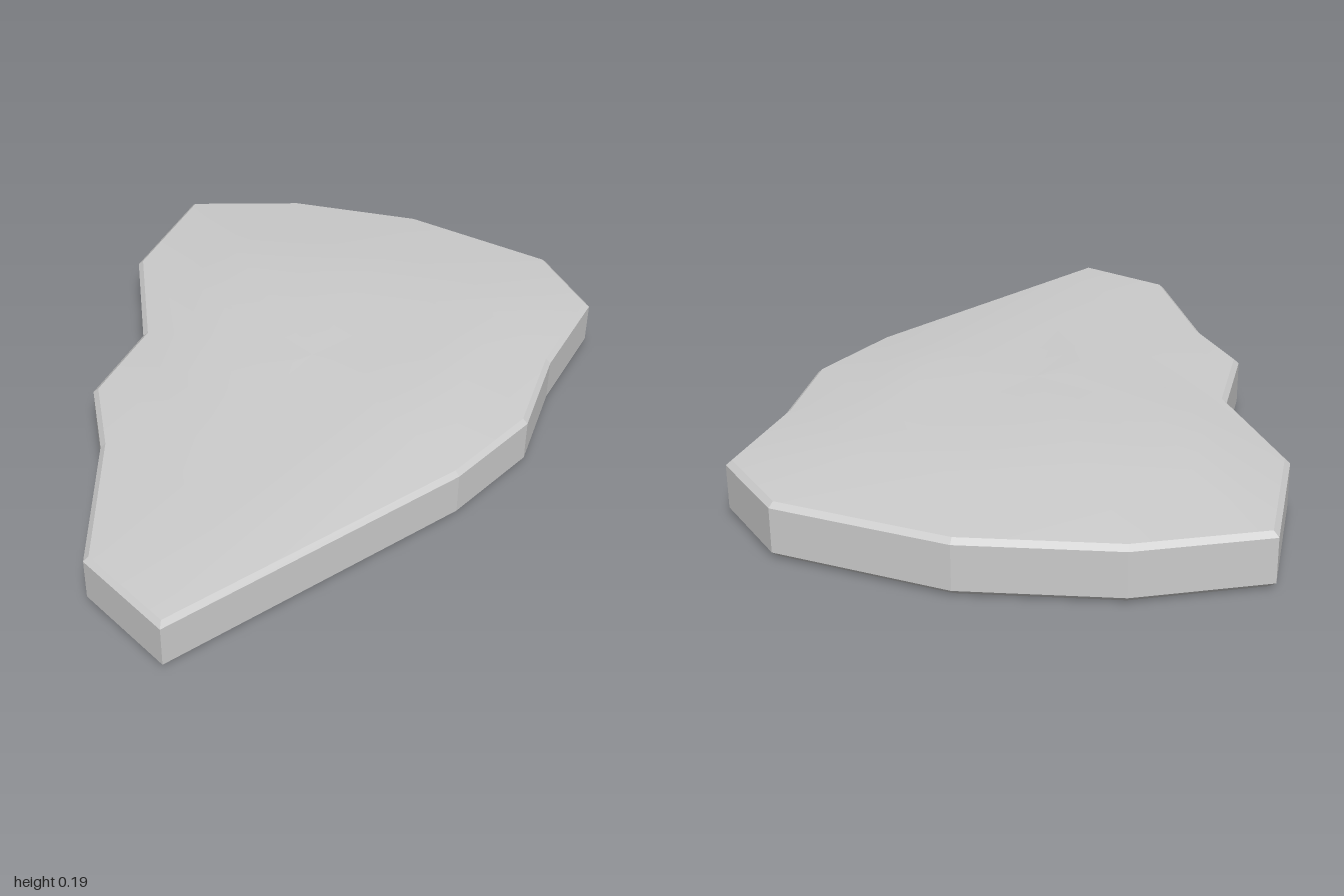
import * as THREE from 'three';

// Slab outline as [x, z], counter-clockwise seen from above
const outline = [
  [0.05, -1.0], [-0.35, -0.97], [-0.68, -0.85], [-0.7, -0.45], [-0.525, -0.09],
  [-0.545, 0.21], [-0.42, 0.43], [-0.27, 0.85], [0, 1.0], [0.52, 0.23],
  [0.64, -0.05], [0.64, -0.35], [0.69, -0.68], [0.51, -0.89],
].map(([x, z]) => new THREE.Vector2(x, z));

const centre = new THREE.Vector2(0, -0.1);
const rimY = 0.147;

// Low bumps of the worn upper face: [x, z, height]
const bumps = [
  [-0.35, -0.7, 0.182], [-0.1, -0.38, 0.189], [0.4, -0.05, 0.184], [-0.1, -0.04, 0.184],
  [0.25, -0.6, 0.176], [-0.3, 0.15, 0.169], [0.2, 0.38, 0.168], [-0.1, 0.6, 0.162],
];

// Move every edge of the outline inward by d (mitred corners)
function inset(d) {
  const n = outline.length;
  return outline.map((p, i) => {
    const a = p.clone().sub(outline[(i + n - 1) % n]).normalize();
    const b = outline[(i + 1) % n].clone().sub(p).normalize();
    const na = new THREE.Vector2(a.y, -a.x), nb = new THREE.Vector2(b.y, -b.x);
    const m = na.clone().add(nb).normalize();
    return p.clone().addScaledVector(m, d / m.dot(na));
  });
}

// Height of the upper face, weighted by distance to the bumps
function bumpHeight(x, z) {
  let sum = 0, weight = 0;
  for (const [bx, bz, h] of bumps) {
    const w = 1 / ((x - bx) ** 2 + (z - bz) ** 2 + 0.004) ** 1.5;
    sum += w * h;
    weight += w;
  }
  return sum / weight;
}

// Join closed rings of Vector3 from first to last
function loft(rings) {
  const n = rings[0].length, index = [];
  for (let r = 0; r < rings.length - 1; r++) {
    for (let i = 0; i < n; i++) {
      const j = (i + 1) % n, lo = r * n, hi = lo + n;
      index.push(lo + i, lo + j, hi + j, lo + i, hi + j, hi + i);
    }
  }
  const geometry = new THREE.BufferGeometry().setFromPoints(rings.flat());
  geometry.setIndex(index);
  geometry.computeVertexNormals();
  return geometry;
}

const level = (points, y) => points.map((p) => new THREE.Vector3(p.x, y, p.y));

export function createModel() {
  const group = new THREE.Group();
  group.name = 'stoneSlab';
  const rim = inset(0.014);

  // Flat underside, bevels and faceted side wall
  const body = new THREE.Mesh(
    loft([
      level(outline.map(() => centre), 0), level(inset(0.018), 0),
      level(outline, 0.016), level(outline, 0.134), level(rim, rimY),
    ]),
    new THREE.MeshStandardMaterial({ color: 0xcccccc, flatShading: true }),
  );
  body.name = 'slabBody';

  // Gently uneven upper face, rising from the rim
  const steps = [0, 0.3, 0.5, 0.75, 1];
  const topRings = steps.map((t) => rim.map((p) => {
    const q = p.clone().lerp(centre, t);
    const rise = Math.min(1, t / 0.4);
    return new THREE.Vector3(q.x, rimY + (bumpHeight(q.x, q.y) - rimY) * rise, q.y);
  }));
  const top = new THREE.Mesh(loft(topRings), new THREE.MeshStandardMaterial({ color: 0xcccccc }));
  top.name = 'upperFace';

  group.add(body, top);
  return group;
}
